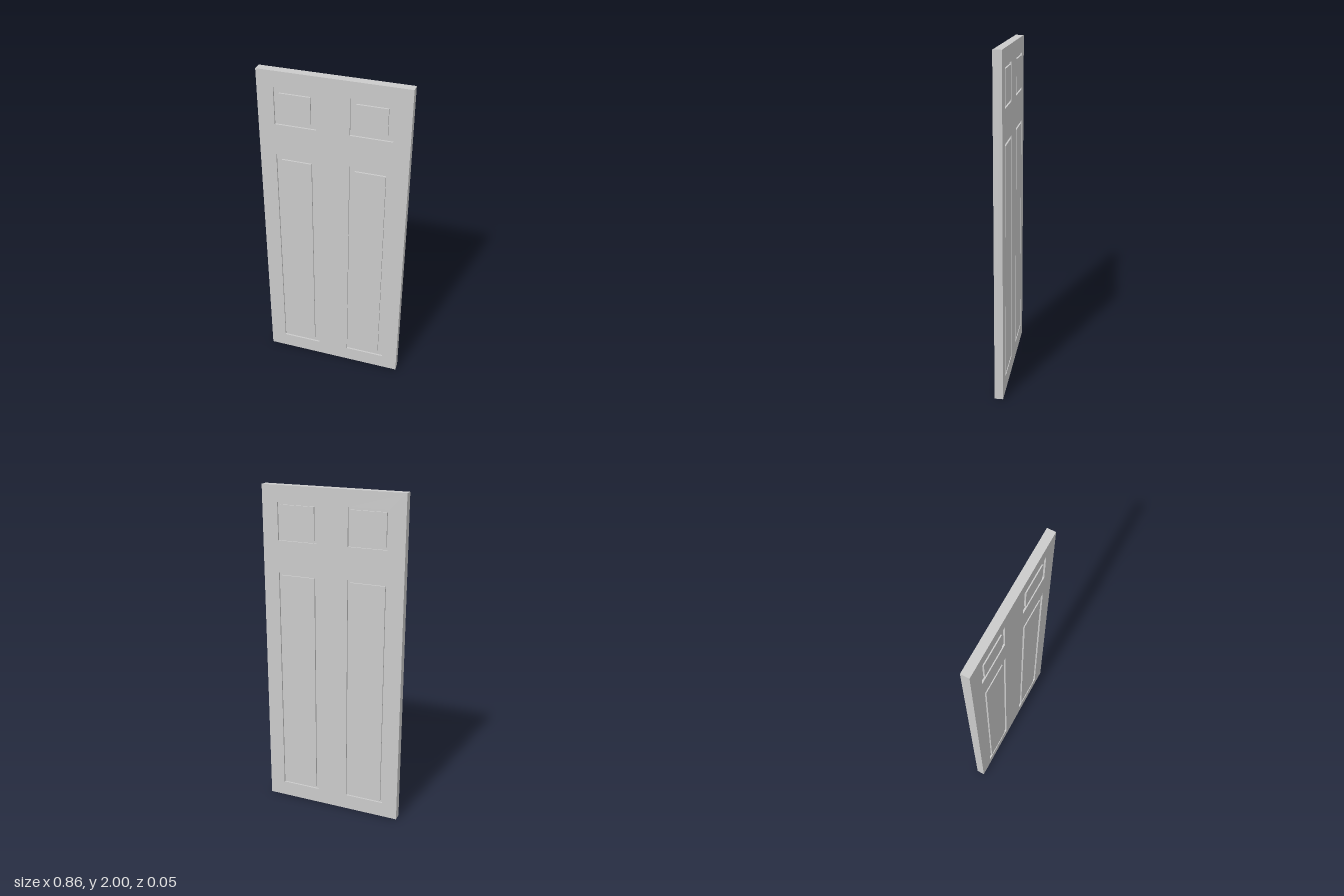
import * as THREE from 'three';

const W = 0.86, H = 2, T = 0.05, DEPTH = 0.01;

// One row per panel height: [bottom, top]; columns are mirrored in x
const ROWS = [[0.095, 1.495], [1.685, 1.905]];
const X_IN = 0.095, X_OUT = 0.335;

function rect(Kind, x0, y0, x1, y1) {
  return new Kind([
    new THREE.Vector2(x0, y0), new THREE.Vector2(x1, y0),
    new THREE.Vector2(x1, y1), new THREE.Vector2(x0, y1),
  ]);
}

export function createModel() {
  const door = new THREE.Group();
  door.name = 'panelDoor';
  const material = new THREE.MeshStandardMaterial({ color: 0xcccccc });

  const add = (name, geometry, parent) => {
    const mesh = new THREE.Mesh(geometry, material);
    mesh.name = name;
    parent.add(mesh);
    return mesh;
  };

  // Solid core, whose faces form the groove floors
  add('core', new THREE.BoxGeometry(W, H, T - 2 * DEPTH), door).position.y = H / 2;

  // A facing: outer frame with openings, and panels inset by the groove width
  const facing = (name, groove) => {
    const side = new THREE.Group();
    side.name = name;
    const frame = rect(THREE.Shape, -W / 2, 0, W / 2, H);
    const panels = [];
    for (const [y0, y1] of ROWS) {
      for (const s of [-1, 1]) {
        const x0 = s < 0 ? -X_OUT : X_IN;
        const x1 = s < 0 ? -X_IN : X_OUT;
        frame.holes.push(rect(THREE.Path, x0, y0, x1, y1));
        panels.push(rect(THREE.Shape, x0 + groove, y0 + groove, x1 - groove, y1 - groove));
      }
    }
    const options = { depth: DEPTH, bevelEnabled: false };
    add(name + 'Frame', new THREE.ExtrudeGeometry(frame, options), side);
    add(name + 'Panels', new THREE.ExtrudeGeometry(panels, options), side);
    side.children.forEach((m) => { m.position.z = T / 2 - DEPTH; });
    door.add(side);
    return side;
  };

  // Wide grooves on the front, narrow ones on the back
  facing('front', 0.031);
  facing('back', 0.014).rotation.y = Math.PI;

  return door;
}
